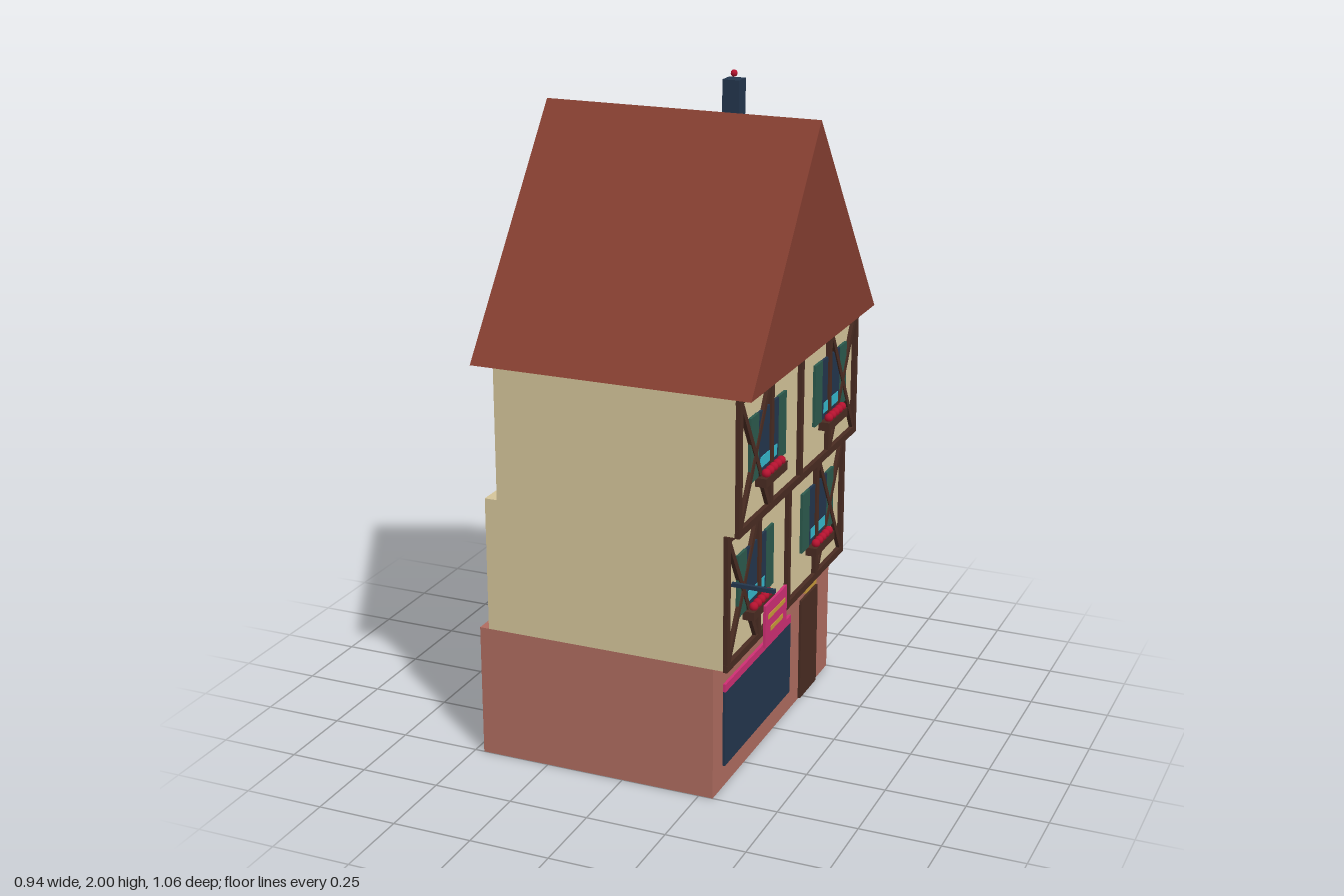
import * as THREE from 'three';

const mat = (name, color) => new THREE.MeshStandardMaterial({ name, color });

export function createModel() {
  const house = new THREE.Group();
  house.name = 'timberHouse';

  const plaster = mat('cream plaster', 0xd6c69b);
  const brick = mat('rose masonry', 0xb06d60);
  const tile = mat('roof tile', 0x863f31);
  const timber = mat('dark timber', 0x4a2c22);
  const navy = mat('navy', 0x23364d);
  const cyan = mat('cyan glass', 0x35b8cc);
  const green = mat('shutter green', 0x2c5a4d);
  const gold = mat('gold', 0xc99a3a);
  const pink = mat('magenta', 0xcf2f74);
  const red = mat('flower red', 0xb5122f);

  // Box given by its limits on each axis
  function box(name, m, x0, x1, y0, y1, z0, z1, parent = house) {
    const mesh = new THREE.Mesh(new THREE.BoxGeometry(x1 - x0, y1 - y0, z1 - z0), m);
    mesh.position.set((x0 + x1) / 2, (y0 + y1) / 2, (z0 + z1) / 2);
    mesh.name = name;
    parent.add(mesh);
    return mesh;
  }
  function ball(name, r, x, y, z, parent = house) {
    const mesh = new THREE.Mesh(new THREE.SphereGeometry(r, 10, 8), red);
    mesh.position.set(x, y, z);
    mesh.name = name;
    parent.add(mesh);
  }

  // Stepped storeys
  box('groundFloor', brick, -0.47, 0.295, 0, 0.42, -0.5, 0.5);
  box('firstFloor', plaster, -0.44, 0.328, 0.42, 0.843, -0.5, 0.5);
  box('secondFloor', plaster, -0.4, 0.362, 0.843, 1.266, -0.5, 0.5);

  // Gable roof, ridge along x
  const gable = new THREE.Shape([
    new THREE.Vector2(-0.532, 1.264),
    new THREE.Vector2(0.532, 1.264),
    new THREE.Vector2(0, 1.952),
  ]);
  const roofGeo = new THREE.ExtrudeGeometry(gable, { depth: 0.876, bevelEnabled: false });
  roofGeo.rotateY(Math.PI / 2).translate(-0.458, 0, 0);
  const roof = new THREE.Mesh(roofGeo, tile);
  roof.name = 'roof';
  house.add(roof);

  // Slanted beam between two points on the facade
  function brace(x, ya, za, yb, zb, parent) {
    const dy = yb - ya, dz = zb - za;
    const mesh = new THREE.Mesh(new THREE.BoxGeometry(0.012, Math.hypot(dy, dz), 0.018), timber);
    mesh.position.set(x + 0.006, (ya + yb) / 2, (za + zb) / 2);
    mesh.rotation.x = Math.atan2(dz, dy);
    mesh.name = 'brace';
    parent.add(mesh);
  }

  // Window with shutters, lower pane and flower box
  function windowUnit(x, y, z, parent) {
    const g = new THREE.Group();
    g.name = 'window';
    g.position.set(x, y, z);
    parent.add(g);
    box('glass', navy, 0, 0.008, 0.135, 0.327, -0.08, 0.08, g);
    box('lowerPane', cyan, 0, 0.01, 0.155, 0.188, -0.066, 0.066, g);
    for (const s of [-1, 1]) {
      const a = s * 0.08, b = s * 0.142;
      box('shutter', green, 0, 0.009, 0.133, 0.329, Math.min(a, b), Math.max(a, b), g);
    }
    box('flowerBox', timber, 0, 0.036, 0.105, 0.132, -0.086, 0.086, g);
    for (let i = -2; i <= 2; i++) ball('flower', 0.014, 0.025, 0.141, i * 0.03, g);
  }

  // Timber frame and windows of the two upper storeys
  for (const [x, y, h] of [[0.328, 0.42, 0.423], [0.362, 0.843, 0.421]]) {
    const frame = new THREE.Group();
    frame.name = 'timberFrame';
    house.add(frame);
    box('sill', timber, x, x + 0.014, y, y + 0.023, -0.507, 0.507, frame);
    box('headBeam', timber, x, x + 0.014, y + h - 0.023, y + h, -0.507, 0.507, frame);
    for (const z of [-0.495, -0.25, 0, 0.25, 0.495]) {
      box('post', timber, x, x + 0.014, y, y + h, z - 0.011, z + 0.011, frame);
    }
    for (const s of [-1, 1]) {
      brace(x, y + 0.02, s * 0.488, y + h - 0.02, s * 0.262, frame);
      brace(x, y + 0.02, s * 0.262, y + h - 0.02, s * 0.488, frame);
      windowUnit(x, y, s * 0.268, frame);
    }
  }

  // Shop front
  box('shopWindow', navy, 0.295, 0.303, 0.072, 0.315, -0.125, 0.424);
  box('awningStrip', pink, 0.295, 0.304, 0.315, 0.34, -0.125, 0.424);
  box('door', timber, 0.295, 0.303, 0.003, 0.346, -0.375, -0.224);
  box('doorPlaque', gold, 0.29, 0.308, 0.363, 0.408, -0.347, -0.249);

  // Hanging sign on its bracket
  box('signBracket', navy, 0.328, 0.462, 0.666, 0.678, 0.434, 0.446);
  box('signBoard', pink, 0.458, 0.466, 0.53, 0.66, 0.355, 0.525);
  for (const [y, w] of [[0.62, 0.067], [0.577, 0.048]]) {
    box('signStripe', gold, 0.456, 0.468, y - 0.007, y + 0.007, 0.44 - w, 0.44 + w);
  }

  // Chimney box with its red finial
  box('chimney', navy, -0.05, 0.006, 1.86, 1.972, -0.45, -0.394);
  ball('chimneyFinial', 0.011, -0.022, 1.989, -0.422);

  return house;
}
